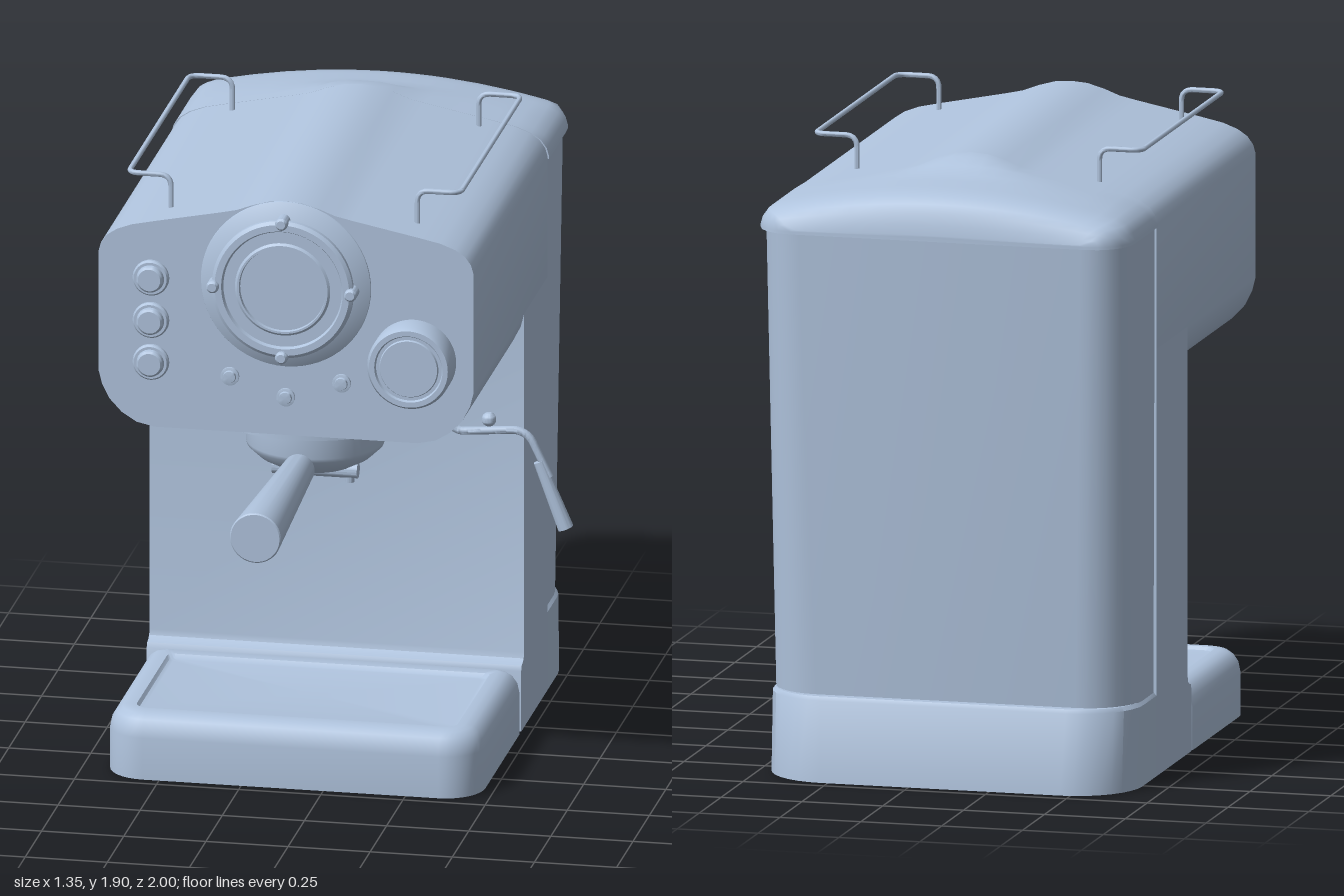
import * as THREE from 'three';
import { toCreasedNormals } from 'three/addons/utils/BufferGeometryUtils.js';

const V = (x, y, z) => new THREE.Vector3(x, y, z);
const V2 = (x, y) => new THREE.Vector2(x, y);

// Skin a stack of equal-length closed rings and cap both ends
function loft(rings) {
  const n = rings[0].length, pos = [], idx = [];
  const centre = (r) => r.reduce((s, p) => s.add(p), V(0, 0, 0)).divideScalar(n);
  for (const r of rings) for (const p of r) pos.push(p.x, p.y, p.z);
  const top = rings.length - 1, c0 = rings.length * n, c1 = c0 + 1;
  for (const c of [centre(rings[0]), centre(rings[top])]) pos.push(c.x, c.y, c.z);
  for (let i = 0; i < n; i++) {
    const j = (i + 1) % n;
    for (let k = 0; k < top; k++) {
      const a = k * n + i, b = k * n + j;
      idx.push(a, b, b + n, a, b + n, a + n);
    }
    idx.push(c0, j, i, c1, top * n + i, top * n + j);
  }
  const g = new THREE.BufferGeometry();
  g.setAttribute('position', new THREE.Float32BufferAttribute(pos, 3));
  g.setIndex(idx);
  return g;
}

// Horizontal rounded rectangle with separate front and back corner radii
function ring(y, w, zf, zb, rf, rb) {
  const pts = [], steps = 8;
  for (let k = 0; k < 4; k++) {
    const front = k === 0 || k === 3, r = front ? rf : rb;
    const cx = (k < 2 ? 1 : -1) * (w - r), cz = front ? zf - r : zb + r;
    for (let j = 0; j <= steps; j++) {
      const t = Math.PI / 2 * (1 - k - j / steps);
      pts.push(V(cx + r * Math.cos(t), y, cz + r * Math.sin(t)));
    }
  }
  return pts;
}

// Right half of the roof line, from the ridge out to the side wall
const ROOF = [[0, 1.87], [0.05, 1.866], [0.1, 1.852], [0.15, 1.833], [0.2, 1.822], [0.3, 1.802],
  [0.4, 1.782], [0.47, 1.767], [0.515, 1.75], [0.545, 1.73], [0.563, 1.705], [0.57, 1.68]];
const UNDER = [[0.57, 1.3], [0.56, 1.26], [0.537, 1.215], [0.5, 1.175], [0.455, 1.147], [0.4, 1.135]];

export function createModel() {
  const model = new THREE.Group();
  model.name = 'espressoMachine';
  const metal = new THREE.MeshStandardMaterial({ color: 0xb0c4de });
  metal.name = 'pale steel blue';
  const body = new THREE.Group();
  body.name = 'body';
  body.position.x = -0.1;
  model.add(body);

  const add = (name, geo, x = 0, y = 0, z = 0, crease = 0.6) => {
    const m = new THREE.Mesh(toCreasedNormals(geo, crease), metal);
    m.name = name;
    m.position.set(x, y, z);
    body.add(m);
    return m;
  };
  const lathe = (pts, seg = 48) => new THREE.LatheGeometry(pts.map((p) => V2(p[0], p[1])), seg);
  // Turned part whose axis points to the front
  const turned = (name, pts, x, y, z, seg) => add(name, lathe(pts, seg).rotateX(Math.PI / 2), x, y, z);
  // Bent rod through points, corners rounded by radius b
  const rod = (name, pts, r, b) => {
    const path = new THREE.CurvePath();
    let last = pts[0];
    for (let i = 1; i < pts.length - 1; i++) {
      const p = pts[i];
      const p0 = p.clone().add(pts[i - 1].clone().sub(p).setLength(b));
      const p1 = p.clone().add(pts[i + 1].clone().sub(p).setLength(b));
      path.add(new THREE.LineCurve3(last, p0));
      path.add(new THREE.QuadraticBezierCurve3(p0, p, p1));
      last = p1;
    }
    path.add(new THREE.LineCurve3(last, pts[pts.length - 1]));
    return add(name, new THREE.TubeGeometry(path, 120, r, 10), 0, 0, 0, 1);
  };

  // Head: roof and rounded underside extruded to the front
  const half = [...ROOF, ...UNDER];
  const outline = [...half, ...half.slice(1).reverse().map(([x, y]) => [-x, y])];
  add('head', new THREE.ExtrudeGeometry(new THREE.Shape(outline.map((p) => V2(p[0], p[1]))),
    { depth: 1.13, bevelEnabled: false }), 0, 0, -0.6);

  // Column with a small step at its foot, drawn as a side profile
  const side = [[0.6, 0], [0.6, 1.5], [0.243, 1.5], [0.243, 0.235], [0.238, 0.218], [0.225, 0.21],
    [0.208, 0.205], [0.2, 0.19], [0.2, 0]];
  add('column', new THREE.ExtrudeGeometry(new THREE.Shape(side.map((p) => V2(p[0], p[1]))),
    { depth: 1.14, bevelEnabled: false }).rotateY(Math.PI / 2), -0.57, 0, 0);

  // Back: base skirt and tapered water tank
  add('backBase', loft([ring(0, 0.57, -0.59, -0.96, 0.002, 0.2), ring(0.245, 0.57, -0.59, -0.936, 0.002, 0.19),
    ring(0.257, 0.56, -0.59, -0.928, 0.002, 0.18)]));
  add('waterTank', loft([ring(0.25, 0.562, -0.602, -0.9, 0.002, 0.16),
    ring(1.69, 0.566, -0.602, -0.973, 0.002, 0.13)]));

  // Lid: sections from the back rim to the roof line
  const LID = [[-0.997, 1.69], [-0.99, 1.72], [-0.982, 1.755], [-0.968, 1.78], [-0.94, 1.8], [-0.9, 1.81],
    [-0.86, 1.815], [-0.8, 1.821], [-0.74, 1.828], [-0.69, 1.845], [-0.65, 1.865], [-0.6, 1.88]];
  const lidRings = LID.map(([z, cap]) => {
    const d = Math.max(0, -0.877 - z);
    const w = 0.455 + Math.sqrt(Math.max(0, 0.0144 - d * d));
    const at = (x, y, s) => {
      const limit = cap - 0.26 * x * x * (cap - 1.68) / 0.14;
      return V(s * x / 0.57 * w, Math.max(1.68, Math.min(y, limit)), z);
    };
    return [V(w, 1.672, z), ...[...ROOF].reverse().map(([x, y]) => at(x, y, 1)),
      ...ROOF.slice(1).map(([x, y]) => at(x, y, -1)), V(-w, 1.672, z)];
  });
  add('lid', loft(lidRings), 0, 0, 0, 0.9);

  // Drip tray: rounded edges and a shallow recess
  const tray = [[0, 0, 0], [0.13, 0, 0], [0.16, 0.006, 0.002], [0.182, 0.02, 0.006], [0.195, 0.038, 0.012],
    [0.2, 0.06, 0.02], [0.2, 0.08, 0.06], [0.19, 0.088, 0.07], [0.188, 0.1, 0.08]];
  add('dripTray', loft(tray.map(([y, i, b]) =>
    ring(y, 0.57 - i, 0.465 - i, -0.192 + b, Math.max(0.03, 0.12 - i), 0.02))), 0, 0, 0, 0.7);

  // Pressure gauge on a shallow cone
  turned('gaugeCone', [[0.26, -0.002], [0.258, 0.003], [0.19, 0.04], [0, 0.04]], 0, 1.61, 0.53, 64);
  turned('gaugeBezel', [[0.19, 0.03], [0.215, 0.04], [0.215, 0.055], [0.205, 0.063], [0.185, 0.063],
    [0.18, 0.052], [0.145, 0.052], [0.138, 0.058], [0.132, 0.058], [0.13, 0.047], [0, 0.047]], 0, 1.61, 0.53, 64);
  for (let i = 0; i < 4; i++) {
    const a = i * Math.PI / 2;
    turned('gaugeStud', [[0, 0], [0.019, 0], [0.019, 0.045], [0.013, 0.052], [0, 0.052]],
      0.21 * Math.cos(a), 1.61 + 0.21 * Math.sin(a), 0.558, 20);
  }

  // Front controls
  for (const y of [1.605, 1.472, 1.34])
    turned('button', [[0.055, 0], [0.055, 0.012], [0.05, 0.018], [0.042, 0.018], [0.04, 0.03], [0.034, 0.036],
      [0, 0.036]], -0.41, y, 0.528, 32);
  for (const [x, y] of [[-0.17, 1.31], [0, 1.255], [0.17, 1.31]])
    turned('indicator', [[0.028, 0], [0.028, 0.01], [0.02, 0.012], [0.018, 0.018], [0, 0.018]], x, y, 0.528, 24);
  turned('dial', [[0.128, 0], [0.128, 0.075], [0.12, 0.088], [0.104, 0.088], [0.1, 0.08], [0.09, 0.08],
    [0.087, 0.086], [0, 0.086]], 0.39, 1.395, 0.53);

  // Brew group and filter holder
  add('brewFlange', lathe([[0, 1.08], [0.333, 1.08], [0.333, 1.15], [0, 1.15]], 64), 0, 0, 0.08);
  add('brewCollar', lathe([[0, 1.06], [0.265, 1.06], [0.265, 1.085], [0, 1.085]], 64), 0, 0, 0.08);
  add('filterHolder', lathe([[0, 0.89], [0.06, 0.892], [0.12, 0.908], [0.17, 0.935], [0.205, 0.968],
    [0.208, 0.98], [0.208, 1.065], [0, 1.065]], 48), 0, 0, 0.08);
  add('spoutBar', new THREE.CylinderGeometry(0.024, 0.024, 0.26, 20).rotateZ(Math.PI / 2), 0, 0.885, 0.08);
  for (const s of [-1, 1])
    add('spoutNozzle', new THREE.CylinderGeometry(0.016, 0.013, 0.04, 16), s * 0.105, 0.868, 0.08);
  turned('handleNeck', [[0, 0.2], [0.026, 0.2], [0.026, 0.34], [0, 0.34]], 0, 0.963, 0, 24);
  turned('handle', [[0, 0.325], [0.043, 0.325], [0.048, 0.335], [0.078, 0.996], [0.074, 1], [0, 1]], 0, 0.963, 0, 40);

  // Steam wand on the left
  const wandZ = 0.015;
  add('wandCollar', new THREE.CylinderGeometry(0.022, 0.018, 0.025, 20), 0.395, 1.128, wandZ);
  rod('steamWand', [V(0.395, 1.14, wandZ), V(0.395, 1.005, wandZ), V(0.63, 1.025, wandZ), V(0.7, 0.88, wandZ)],
    0.012, 0.05);
  add('wandBall', new THREE.SphereGeometry(0.022, 16, 12), 0.515, 1.05, wandZ);
  const grip = add('wandGrip', new THREE.CylinderGeometry(0.017, 0.024, 0.22, 20), 0.708, 0.825, wandZ);
  grip.rotation.z = 0.38;

  // Cup rails on the roof
  for (const s of [-1, 1]) {
    const inner = s * 0.375, outer = s * 0.505, y = 1.888;
    rod('cupRail', [V(inner, 1.77, 0.405), V(inner, y, 0.405), V(outer, y, 0.405), V(outer, y, -0.53),
      V(inner, y, -0.53), V(inner, 1.77, -0.53)], 0.008, 0.035);
  }
  return model;
}
